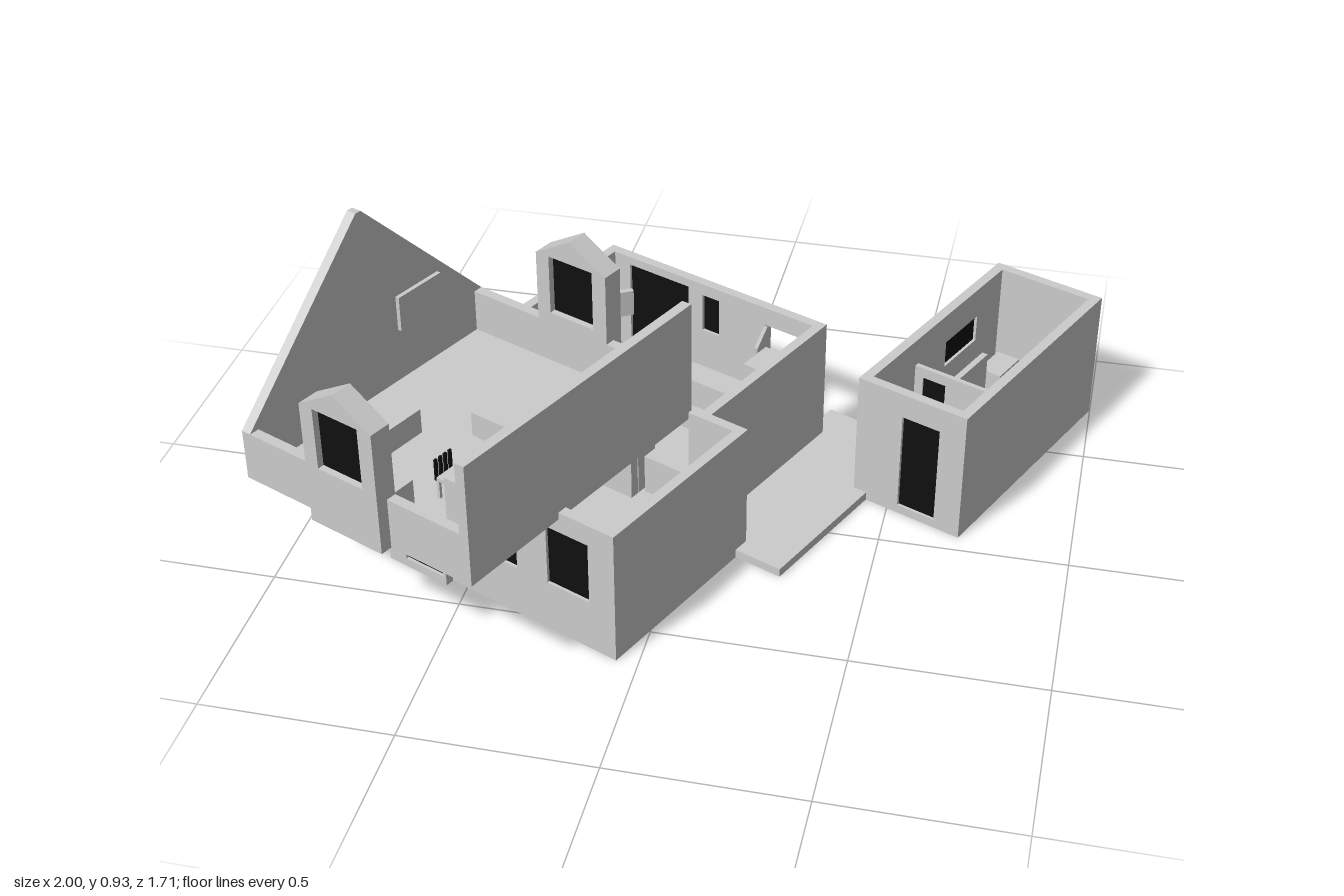
import * as THREE from 'three';

const grey = new THREE.MeshStandardMaterial({ color: 0xcccccc });
const black = new THREE.MeshStandardMaterial({ color: 0x101010 });
const T = 0.028; // wall thickness

function group(name, parent) {
  const g = new THREE.Group();
  g.name = name;
  parent.add(g);
  return g;
}

// Box given by its plan limits (x, z) and heights
function box(parent, name, x0, x1, z0, z1, y0, y1, mat = grey) {
  const m = new THREE.Mesh(new THREE.BoxGeometry(x1 - x0, y1 - y0, z1 - z0), mat);
  m.position.set((x0 + x1) / 2, (y0 + y1) / 2, (z0 + z1) / 2);
  m.name = name;
  parent.add(m);
  return m;
}

// Wall from an outline, with openings [a0, a1, y0, y1, glazed]; along 'x' or 'z'
function wall(parent, name, along, at, outline, openings = [], t = T) {
  const g = group(name, parent);
  const shape = new THREE.Shape(outline.map(p => new THREE.Vector2(...p)));
  for (const [a0, a1, y0, y1, glazed = true] of openings) {
    shape.holes.push(new THREE.Path([[a0, y0], [a0, y1], [a1, y1], [a1, y0]].map(p => new THREE.Vector2(...p))));
    if (glazed) box(g, 'pane', a0, a1, t * 0.3, t * 0.7, y0, y1, black);
  }
  const m = new THREE.Mesh(new THREE.ExtrudeGeometry(shape, { depth: t, bevelEnabled: false }), grey);
  m.name = 'wallPanel';
  g.add(m);
  if (along === 'x') g.position.z = at;
  else {
    g.rotation.y = -Math.PI / 2;
    g.position.x = at + t;
  }
  return g;
}
const rect = (a0, a1, y0, y1) => [[a0, y0], [a1, y0], [a1, y1], [a0, y1]];

function chair(parent, x, z, y, turn) {
  const g = group('chair', parent);
  g.position.set(x, y, z);
  g.rotation.y = turn;
  box(g, 'chairSeat', -0.03, 0.03, -0.03, 0.03, 0.05, 0.06);
  for (const sx of [-1, 1]) for (const sz of [-1, 1])
    box(g, 'chairLeg', sx * 0.026 - 0.004, sx * 0.026 + 0.004, sz * 0.026 - 0.004, sz * 0.026 + 0.004, 0, 0.05);
  for (let i = 0; i < 4; i++)
    box(g, 'chairBackBar', -0.03 + i * 0.017, -0.021 + i * 0.017, -0.036, -0.03, 0.05, 0.11, black);
}

function groundFloor(parent) {
  const g = group('groundFloor', parent);
  const H = 0.38, F = 0.025;
  // Floor slabs
  box(g, 'backFloor', -0.654, 0.083, -0.5, 0.066, 0, F);
  box(g, 'frontFloor', -0.53, 0.197, 0.04, 0.595, 0, F);
  box(g, 'entranceFloor', -0.53, -0.335, 0.5, 0.62, 0, F);
  // Back room
  wall(g, 'backWall', 'x', -0.5, rect(-0.654, 0.083, 0, H), [
    [-0.572, -0.364, 0.025, 0.355], [-0.315, -0.258, 0.23, 0.345], [-0.1, 0.027, 0.025, 0.325, false]]);
  wall(g, 'backRoomLeftWall', 'z', -0.654, rect(-0.5, 0.066, 0, H));
  wall(g, 'backRoomRightWall', 'z', 0.083 - T, rect(-0.5, 0.066, 0, H));
  wall(g, 'middleWall', 'x', 0.066 - T, rect(-0.654, 0.197, 0, H), [[-0.16, 0.03, F, 0.33, false]]);
  const leaf = group('openDoor', g);
  leaf.position.set(-0.1, 0, -0.475);
  leaf.rotation.y = -1.2;
  box(leaf, 'doorLeaf', 0, 0.12, -0.005, 0.005, F, 0.32);
  // Front room with its projecting entrance
  wall(g, 'frontRoomLeftWall', 'z', -0.53, rect(0.04, 0.62, 0, H - 0.01));
  wall(g, 'frontRoomRightWall', 'z', 0.197 - T, rect(0.04, 0.595, 0, H));
  wall(g, 'frontWall', 'x', 0.595 - T, [[-0.35, 0], [0.197, 0], [0.197, H], [0.027, H], [0.027, 0.365], [-0.35, 0.365]], [
    [-0.243, -0.112, 0.145, 0.32], [-0.014, 0.117, 0.145, 0.32]]);
  wall(g, 'entranceWall', 'x', 0.62 - T, rect(-0.53, -0.335, 0, 0.365), [[-0.472, -0.345, F, 0.35]]);
  box(g, 'entranceReturn', -0.35, -0.335, 0.56, 0.61, 0, 0.365);
  // Stair in the side strip
  for (let i = 0; i < 5; i++)
    box(g, 'stairStep', 0.06, 0.168, 0.545 - i * 0.03, 0.575 - i * 0.03, F, 0.33 - i * 0.06);
  // Kitchen run and furniture
  box(g, 'kitchenCounter', -0.01, 0.055, -0.34, -0.03, F, 0.14);
  box(g, 'refrigerator', -0.01, 0.05, -0.42, -0.34, F, 0.24);
  box(g, 'wallCupboard', -0.005, 0.055, -0.335, -0.23, 0.28, 0.36);
  box(g, 'tallCabinet', -0.24, -0.16, -0.04, 0.035, F, 0.3);
  box(g, 'lowCabinet', -0.15, -0.01, -0.03, 0.02, F, 0.14);
  box(g, 'sideTable', -0.346, -0.163, -0.47, -0.39, F, 0.11);
  box(g, 'cabinet', -0.625, -0.57, -0.4, -0.31, 0.22, 0.27);
  const screen = box(g, 'cornerScreen', -0.055, 0.055, -0.008, 0.008, 0.2, 0.28);
  screen.position.set(-0.59, 0.24, -0.42);
  screen.rotation.y = 0.95;
  chair(g, -0.515, -0.355, F, -0.1);
}

function upperFloor(parent) {
  const g = group('upperFloor', parent);
  const x0 = -0.7, x1 = 0.03, z0 = 0.053, z1 = 0.914, B = 0.36, L = 0.5, F = 0.38;
  box(g, 'upperFloorSlab', x0, x1, z0, z1, B, F);
  // Gable on one side, straight wall on the other
  wall(g, 'gableWall', 'z', x0, [[z0, B], [z1, B], [z1, L], [0.493, 0.925], [0.475, 0.925], [z0, L]]);
  wall(g, 'sideWall', 'z', x1 - T, rect(z0, z1, B, 0.7));
  // Low eaves walls, each with a gabled dormer
  const d0 = -0.449, d1 = -0.221, mid = (d0 + d1) / 2;
  for (const front of [true, false]) {
    const at = front ? z1 - T : z0;
    wall(g, 'eavesWallLeft', 'x', at, rect(x0, d0, B, L));
    wall(g, 'eavesWallRight', 'x', at, rect(d1, x1, B, L));
    wall(g, 'dormer', 'x', front ? z1 - T : z0 - 0.033,
      [[d0, B], [d1, B], [d1, 0.7], [mid, 0.767], [d0, 0.7]], [[-0.407, -0.265, 0.53, 0.7]], T + 0.033);
  }
  // Furniture
  box(g, 'bed', -0.351, 0, 0.196, 0.47, F, 0.45);
  box(g, 'headboard', -0.015, 0.002, 0.196, 0.47, F, 0.5);
  box(g, 'nightstand', -0.088, 0.002, 0.474, 0.52, F, 0.45);
  box(g, 'wallShelf', -0.075, 0.002, 0.13, 0.165, 0.5, 0.52);
  box(g, 'bench', -0.558, -0.463, 0.535, 0.768, F, 0.45);
  box(g, 'desk', -0.41, -0.245, 0.8, 0.888, F, 0.48);
  box(g, 'wardrobe', -0.163, 0, 0.627, 0.78, F, 0.51);
  box(g, 'picture', x0 + T, x0 + T + 0.012, 0.22, 0.38, 0.53, 0.63);
  chair(g, -0.215, 0.69, F, Math.PI / 2);
}

function outbuilding(parent) {
  const g = group('outbuilding', parent);
  const x0 = 0.296, x1 = 0.624, z0 = -1.068, z1 = -0.33, H = 0.38, F = 0.025;
  box(g, 'outbuildingFloor', x0, x1, z0, z1, 0, F);
  wall(g, 'outbuildingFront', 'x', z1 - T, rect(x0, x1, 0, H), [[0.434, 0.547, F, 0.31]]);
  wall(g, 'outbuildingBack', 'x', z0, rect(x0, x1, 0, H));
  wall(g, 'outbuildingLeft', 'z', x0, rect(z0, z1, 0, H), [[-0.91, -0.74, 0.21, 0.29]]);
  wall(g, 'outbuildingRight', 'z', x1 - T, rect(z0, z1, 0, H));
  // Inner partitions
  wall(g, 'partition', 'x', -0.59, rect(x0 + T, x1 - T, F, 0.3), [[0.35, 0.42, 0.03, 0.27]], 0.014);
  box(g, 'partitionStub', 0.438, 0.455, -0.74, -0.585, F, 0.3);
  // Fittings
  box(g, 'lowUnit', 0.335, 0.405, -1.035, -0.925, F, 0.11);
  box(g, 'basin', 0.51, 0.597, -0.955, -0.885, F, 0.14);
}

export function createModel() {
  const model = new THREE.Group();
  model.name = 'house';
  const plan = group('plan', model);
  plan.rotation.y = -0.41;
  groundFloor(plan);
  upperFloor(plan);
  outbuilding(plan);
  // Terrace joining house and outbuilding
  box(plan, 'terrace', 0.041, 0.336, -0.607, 0.085, 0, 0.024);
  return model;
}
